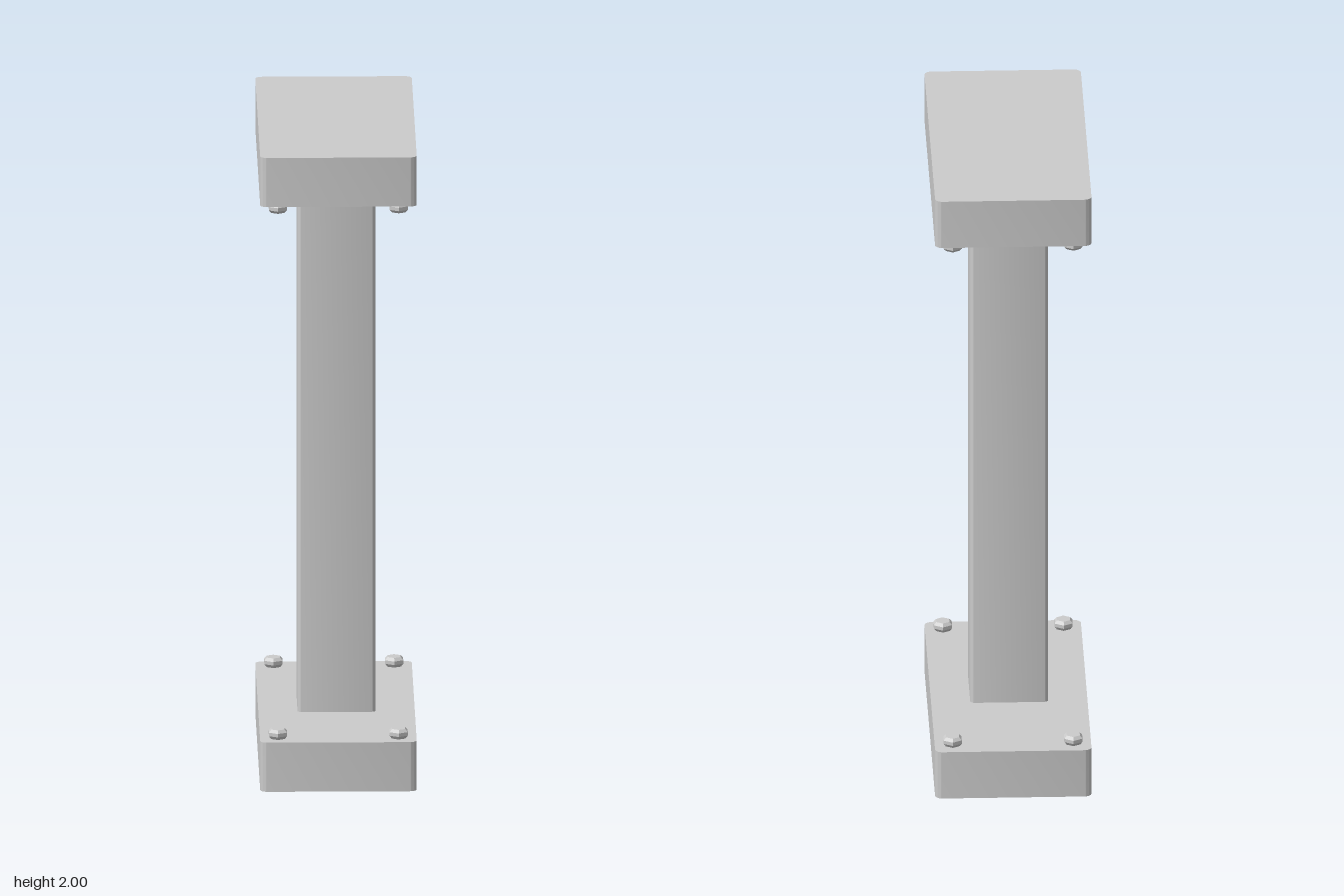
import * as THREE from 'three';
import { toCreasedNormals } from 'three/addons/utils/BufferGeometryUtils.js';

const material = new THREE.MeshStandardMaterial({ color: 0xcccccc });

// Upright block with rounded vertical edges, standing on y = 0
function roundedBlock(width, depth, height, r) {
  const x = width / 2, z = depth / 2;
  const shape = new THREE.Shape();
  shape.absarc(x - r, z - r, r, 0, Math.PI / 2);
  shape.absarc(-x + r, z - r, r, Math.PI / 2, Math.PI);
  shape.absarc(-x + r, -z + r, r, Math.PI, Math.PI * 1.5);
  shape.absarc(x - r, -z + r, r, Math.PI * 1.5, Math.PI * 2);
  shape.closePath();
  const geometry = new THREE.ExtrudeGeometry(shape, { depth: height, bevelEnabled: false, curveSegments: 6 });
  return toCreasedNormals(geometry.rotateX(-Math.PI / 2), 0.6);
}

function addMesh(parent, geometry, name, x = 0, y = 0, z = 0) {
  const mesh = new THREE.Mesh(geometry, material);
  mesh.name = name;
  mesh.position.set(x, y, z);
  parent.add(mesh);
  return mesh;
}

export function createModel() {
  const model = new THREE.Group();
  model.name = 'columnWithPlates';
  const plateHeight = 0.155;
  const plate = roundedBlock(0.477, 0.954, plateHeight, 0.022);

  // Hexagonal bolt head with chamfered rims
  const profile = [[0, 0], [0.024, 0], [0.032, 0.01], [0.032, 0.021], [0.023, 0.03], [0, 0.03]];
  const bolt = toCreasedNormals(
    new THREE.LatheGeometry(profile.map(([r, y]) => new THREE.Vector2(r, y)), 6), 0.5);

  // Square column between the plates
  addMesh(model, roundedBlock(0.238, 0.238, 2 - 2 * plateHeight, 0.014), 'column', 0, plateHeight);

  // Each end: a plate with four bolts on its inner face; the top one is turned over
  for (const end of ['base', 'top']) {
    const group = new THREE.Group();
    group.name = end + 'End';
    addMesh(group, plate, end + 'Plate');
    for (const x of [-0.184, 0.184])
      for (const z of [-0.422, 0.422])
        addMesh(group, bolt, end + 'Bolt', x, plateHeight, z);
    if (end === 'top') {
      group.position.y = 2;
      group.rotation.x = Math.PI;
    }
    model.add(group);
  }
  return model;
}
